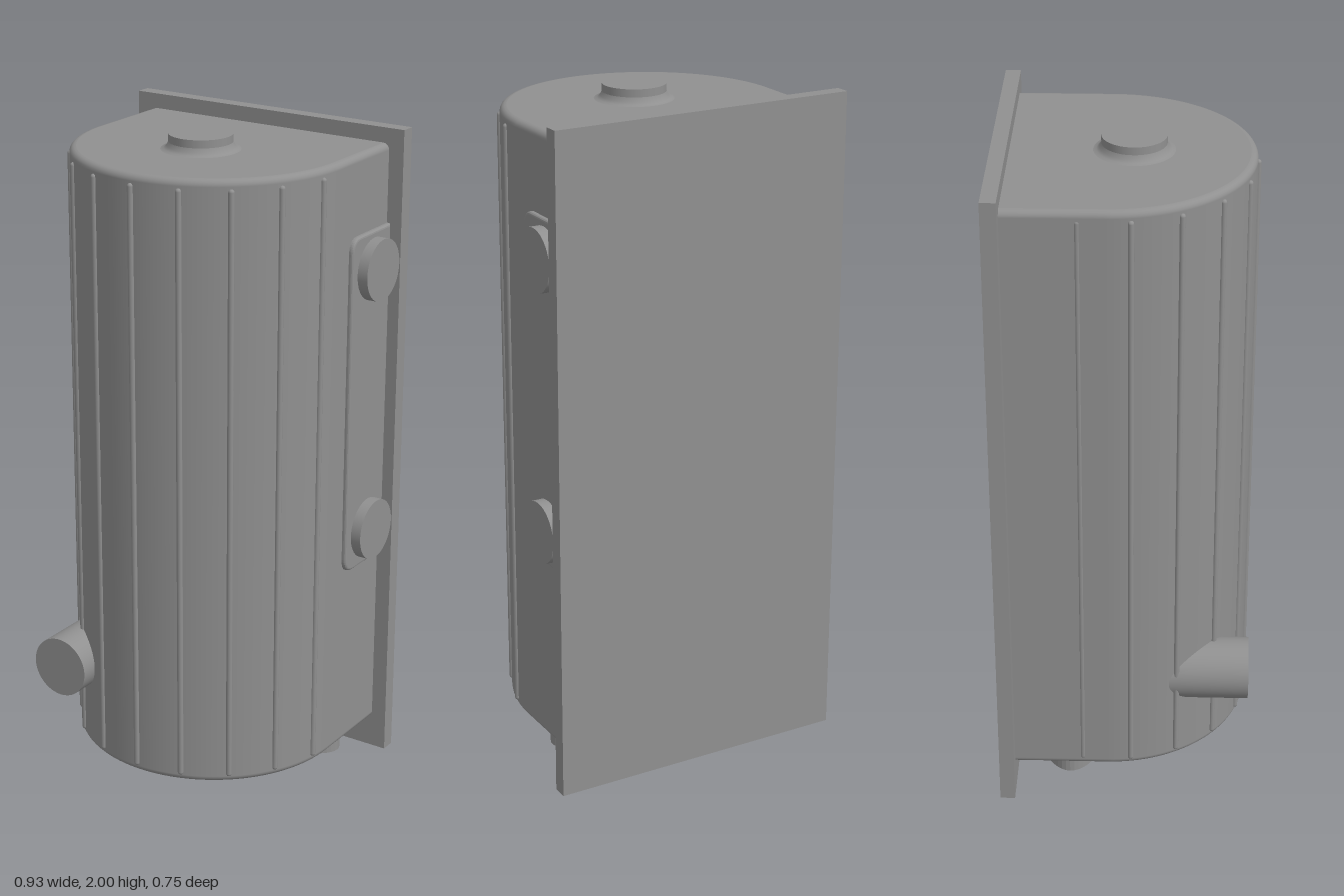
import * as THREE from 'three';

const R = 0.417, CZ = -0.05, BACK = -0.332; // body radius, arc centre, back face
const BOTTOM = 0.1, TOP = 1.955, EDGE = 0.02;

// D-shaped outline as [x, z], starting at the left back corner
function outline(inset) {
  const r = R - inset, pts = [[r, BACK]];
  for (let i = 0; i <= 64; i++) {
    const a = (i / 64) * Math.PI;
    pts.push([r * Math.cos(a), CZ + r * Math.sin(a)]);
  }
  pts.push([-r, BACK]);
  return pts;
}

// Wall with rounded top and bottom edges, lofted from inset outlines
function wallGeometry() {
  const rings = [], steps = 5, pos = [], idx = [];
  for (let i = 0; i <= steps; i++) {
    const a = (i / steps) * Math.PI / 2;
    rings.push([BOTTOM + EDGE * (1 - Math.sin(a)), EDGE * (1 - Math.cos(a))]);
  }
  rings.reverse();
  rings.push(...rings.slice().reverse().map(([y, d]) => [BOTTOM + TOP - y, d]));
  rings.sort((p, q) => p[0] - q[0]);
  const n = outline(0).length;
  for (const [y, d] of rings) for (const [x, z] of outline(d)) pos.push(x, y, z);
  for (let j = 0; j < rings.length - 1; j++) {
    for (let i = 0; i < n - 1; i++) {
      const a = j * n + i, b = a + 1, c = a + n, d = c + 1;
      idx.push(a, c, b, b, c, d);
    }
  }
  const g = new THREE.BufferGeometry();
  g.setAttribute('position', new THREE.Float32BufferAttribute(pos, 3));
  g.setIndex(idx);
  g.computeVertexNormals();
  return g;
}

function ellipse(type, z, rx, rz) {
  const e = new type();
  e.absellipse(0, z, rx, rz, 0, Math.PI * 2, false);
  return e;
}

export function createModel() {
  const group = new THREE.Group();
  const grey = new THREE.MeshStandardMaterial({ color: 0x909090 });
  grey.name = 'grey';
  const add = (name, geo, x = 0, y = 0, z = 0) => {
    const m = new THREE.Mesh(geo, grey);
    m.name = name;
    m.position.set(x, y, z);
    group.add(m);
    return m;
  };

  // Wall plate
  add('backPlate', new THREE.BoxGeometry(0.93, 2, 0.045), 0, 1, -0.3525);

  // Body: wall, lid and floor with an opening
  add('bodyWall', wallGeometry());
  const lid = new THREE.Shape(outline(EDGE).map(([x, z]) => new THREE.Vector2(x, -z)));
  add('bodyTop', new THREE.ShapeGeometry(lid).rotateX(-Math.PI / 2), 0, TOP, 0);
  const floor = new THREE.Shape(outline(EDGE).map(([x, z]) => new THREE.Vector2(x, z)));
  floor.holes.push(ellipse(THREE.Path, -0.164, 0.385, 0.127));
  add('bodyFloor', new THREE.ShapeGeometry(floor, 32).rotateX(Math.PI / 2), 0, BOTTOM, 0);

  // Oval outlet: open collar below the floor, with a closed inner end
  const collar = ellipse(THREE.Shape, 0.164, 0.39, 0.132);
  collar.holes.push(ellipse(THREE.Path, 0.164, 0.378, 0.12));
  add('outletCollar', new THREE.ExtrudeGeometry(collar, {
    depth: 0.35, bevelEnabled: false, curveSegments: 32,
  }).rotateX(-Math.PI / 2), 0, 0.05, 0);
  add('outletCeiling', new THREE.ShapeGeometry(ellipse(THREE.Shape, -0.164, 0.385, 0.127), 32)
    .rotateX(Math.PI / 2), 0, 0.395, 0);

  // Thin vertical ribs around the curved front
  const rib = new THREE.CapsuleGeometry(0.009, 1.79, 4, 10);
  for (let deg = -100; deg <= 80; deg += 20) {
    const a = THREE.MathUtils.degToRad(deg);
    add('rib', rib, R * Math.sin(a), 1.025, CZ + R * Math.cos(a));
  }

  // Top stub with a flared foot
  const stub = [[0.116, 0], [0.106, 0.003], [0.098, 0.01], [0.093, 0.022]]
    .map(([r, y]) => new THREE.Vector2(r, y));
  add('topStubFoot', new THREE.LatheGeometry(stub, 48), 0, TOP, 0.02);
  add('topStub', new THREE.CylinderGeometry(0.093, 0.093, 0.045, 48), 0, 1.9775, 0.02);

  // Front pipe
  add('frontPipe', new THREE.CylinderGeometry(0.093, 0.093, 0.325, 48).rotateX(Math.PI / 2),
    -0.28, 0.375, 0.2125);

  // Raised side panel, rounded at its front corners
  const u0 = 0.115, u1 = 0.331, y0 = 0.68, y1 = 1.72, c = 0.045;
  const panel = new THREE.Shape();
  panel.moveTo(u1, y0);
  panel.lineTo(u1, y1);
  panel.lineTo(u0 + c, y1);
  panel.quadraticCurveTo(u0, y1, u0, y1 - c);
  panel.lineTo(u0, y0 + c);
  panel.quadraticCurveTo(u0, y0, u0 + c, y0);
  add('sidePanel', new THREE.ExtrudeGeometry(panel, {
    depth: 0.02, bevelSize: 0.008, bevelThickness: 0.008, bevelOffset: -0.008,
    bevelSegments: 3, curveSegments: 10,
  }).rotateY(Math.PI / 2), 0.403, 0, 0);

  // Two side stubs on the panel
  for (const y of [0.793, 1.607]) {
    add('sideStub', new THREE.CylinderGeometry(0.093, 0.093, 0.053, 48).rotateZ(Math.PI / 2),
      0.4365, y, -0.236);
  }
  return group;
}
